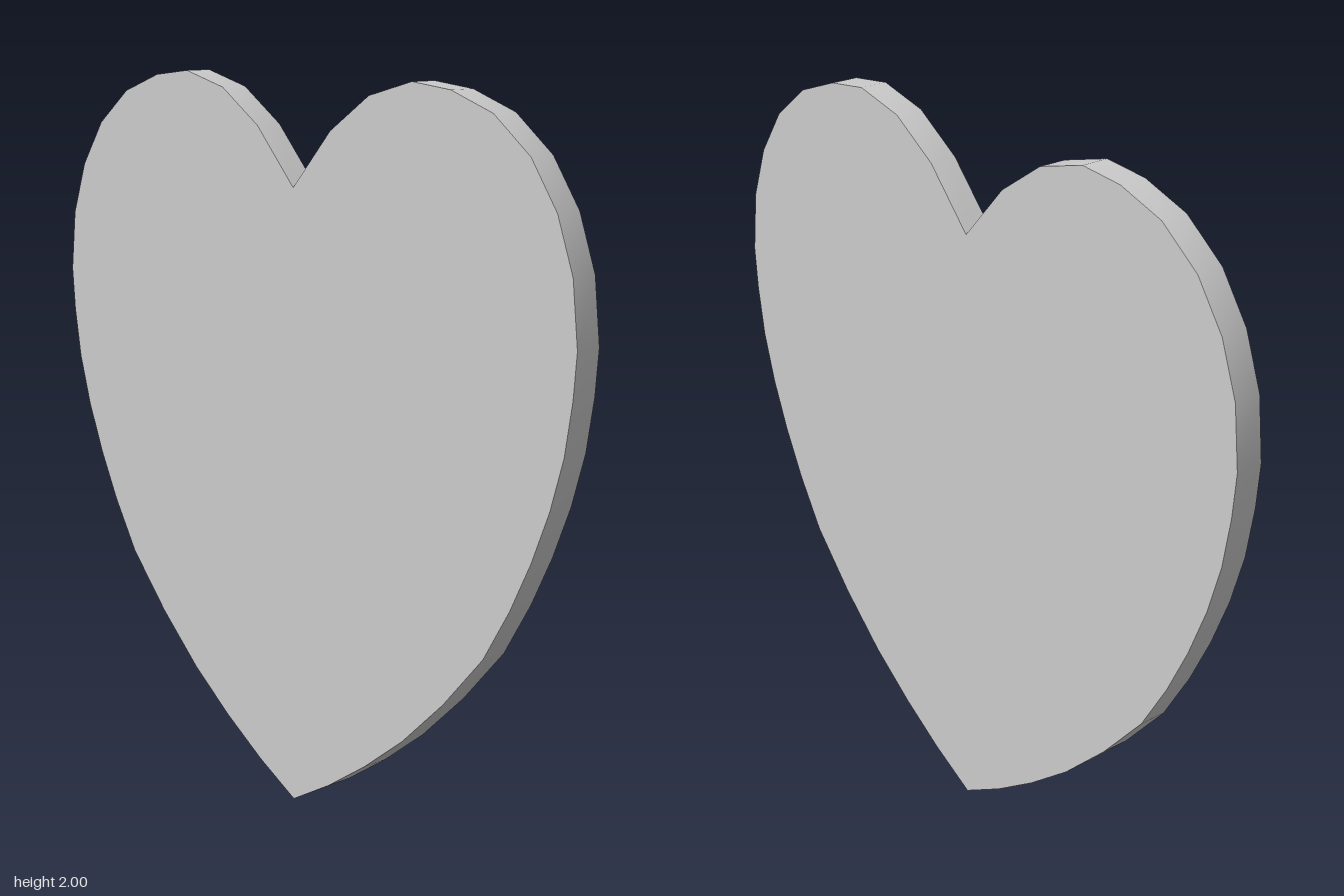
import * as THREE from 'three';
import { toCreasedNormals } from 'three/addons/utils/BufferGeometryUtils.js';

const THICKNESS = 0.08;

// Right half of the outline, from the notch round to the bottom tip
const HALF = [
  [0, 1.71], [0.14, 1.865], [0.28, 1.96], [0.43, 2], [0.56, 1.985], [0.7, 1.935],
  [0.82, 1.84], [0.905, 1.715], [0.957, 1.57], [0.976, 1.4], [0.967, 1.28],
  [0.945, 1.14], [0.905, 1], [0.85, 0.86], [0.785, 0.725], [0.7, 0.58],
  [0.565, 0.425], [0.42, 0.285], [0.28, 0.175], [0.14, 0.08], [0, 0],
];

export function createModel() {
  const group = new THREE.Group();
  group.name = 'heart';

  // Closed outline: right half, then its mirror back up to the notch
  const mirrored = HALF.slice(1, -1).reverse().map(([x, y]) => [-x, y]);
  const outline = [...HALF, ...mirrored].map(([x, y]) => new THREE.Vector2(x, y));

  // Flat plate with a smooth rim, sharp at the faces, notch and tip
  const plate = new THREE.ExtrudeGeometry(new THREE.Shape(outline), {
    depth: THICKNESS,
    bevelEnabled: false,
  });
  plate.translate(0, 0, -THICKNESS / 2);

  const mesh = new THREE.Mesh(
    toCreasedNormals(plate, Math.PI / 6),
    new THREE.MeshStandardMaterial({ color: 0xcccccc })
  );
  mesh.name = 'heartPlate';
  group.add(mesh);
  return group;
}
